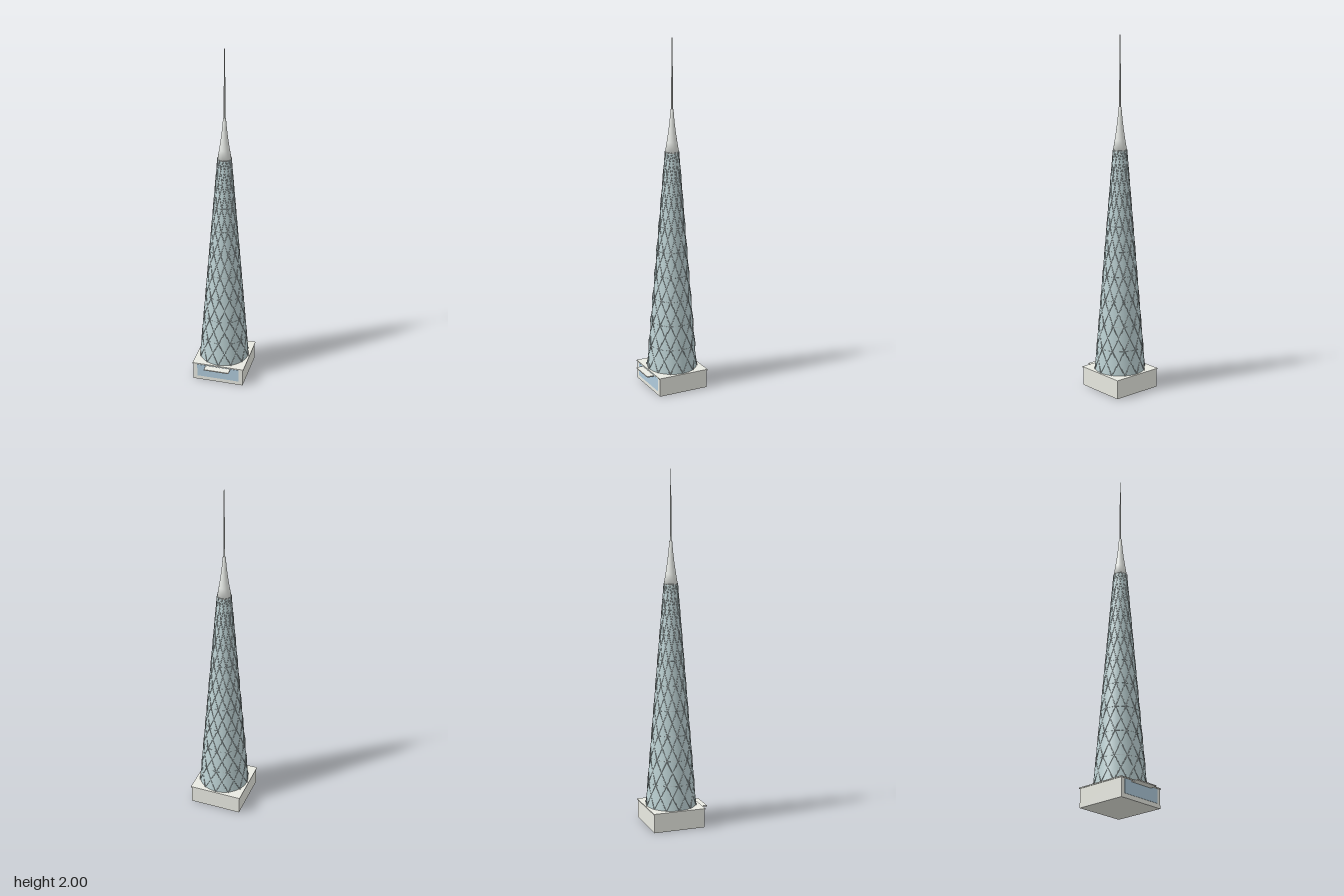
import * as THREE from 'three';

const SIDES = 12, BANDS = 9;
const Y0 = 0.11, Y1 = 1.375, R0 = 0.146, R1 = 0.039;

const paint = (color) => new THREE.MeshStandardMaterial({ color });

function add(parent, name, geometry, material, x = 0, y = 0, z = 0) {
  const mesh = new THREE.Mesh(geometry, material);
  mesh.name = name;
  mesh.position.set(x, y, z);
  parent.add(mesh);
  return mesh;
}

// Corner k of the twelve-sided lattice at floor ring j
function node(k, j) {
  const t = j / BANDS, a = (k / SIDES) * Math.PI * 2;
  const r = THREE.MathUtils.lerp(R0, R1, t);
  return new THREE.Vector3(Math.sin(a) * r, THREE.MathUtils.lerp(Y0, Y1, t), Math.cos(a) * r);
}

// Round bar between two points
function bar(parent, name, a, b, radius, material) {
  const dir = b.clone().sub(a);
  const mesh = add(parent, name, new THREE.CylinderGeometry(radius, radius, dir.length(), 6), material);
  mesh.position.copy(a).add(b).multiplyScalar(0.5);
  mesh.quaternion.setFromUnitVectors(new THREE.Vector3(0, 1, 0), dir.normalize());
}

export function createModel() {
  const model = new THREE.Group();
  model.name = 'latticeTower';
  const stone = paint(0xe9eae2);
  const steel = paint(0xb4bfc0);
  const metal = paint(0xe6e9e5);
  const glass = paint(0xbdd2d4);
  const window = paint(0xb0cbdc);

  const building = new THREE.Group();
  building.name = 'building';
  building.position.z = -0.02;
  model.add(building);

  // Podium with roof slab, glazed entrance and canopy
  add(building, 'podium', new THREE.BoxGeometry(0.298, 0.106, 0.298), stone, 0, 0.053, 0);
  add(building, 'podiumRoof', new THREE.BoxGeometry(0.306, 0.006, 0.306), stone, 0, 0.108, 0);
  add(building, 'entranceGlass', new THREE.BoxGeometry(0.25, 0.078, 0.004), window, 0, 0.063, 0.149);
  add(building, 'canopy', new THREE.BoxGeometry(0.148, 0.006, 0.05), stone, 0, 0.098, 0.167);

  // Round tapered glass shaft, into which the bars sink at mid-face
  add(building, 'glassShaft', new THREE.CylinderGeometry(R1 * 0.975, R0 * 0.975, Y1 - Y0, 48),
    glass, 0, (Y0 + Y1) / 2, 0);

  // Crossed diagonal bars on every face, with a thin ring at each level
  const lattice = new THREE.Group();
  lattice.name = 'lattice';
  building.add(lattice);
  for (let j = 0; j <= BANDS; j++) {
    for (let k = 0; k < SIDES; k++) {
      bar(lattice, 'ringBar', node(k, j), node(k + 1, j), 0.0012, steel);
      if (j === BANDS) continue;
      bar(lattice, 'diagonal', node(k, j), node(k + 1, j + 1), 0.0022, steel);
      bar(lattice, 'diagonal', node(k + 1, j), node(k, j + 1), 0.0022, steel);
    }
  }

  // Crown narrowing to the mast
  const profile = [
    [0, 1.37], [0.039, 1.37], [0.029, 1.43], [0.02, 1.49], [0.013, 1.55], [0.008, 1.61], [0, 1.61],
  ].map(([x, y]) => new THREE.Vector2(x, y));
  add(building, 'crown', new THREE.LatheGeometry(profile, 32), metal);

  // Two-stage mast
  add(building, 'lowerMast', new THREE.CylinderGeometry(0.004, 0.005, 0.24, 16), metal, 0, 1.725, 0);
  add(building, 'upperMast', new THREE.CylinderGeometry(0.002, 0.003, 0.155, 12), metal, 0, 1.9225, 0);

  return model;
}
